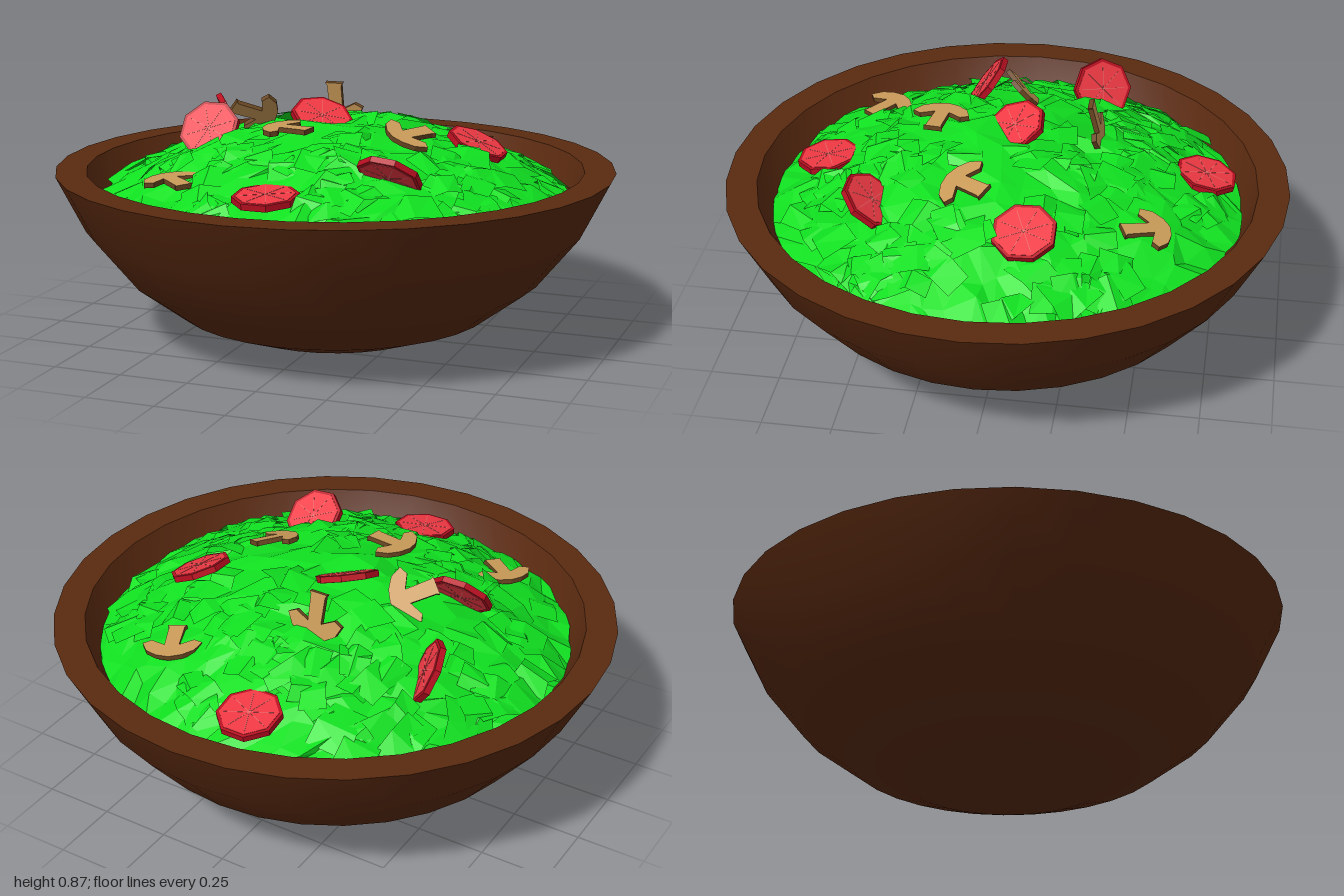
import * as THREE from 'three';
import { mergeGeometries, toCreasedNormals } from 'three/addons/utils/BufferGeometryUtils.js';

const paint = (color, extra = {}) => new THREE.MeshStandardMaterial({ color, ...extra });
const UP = new THREE.Vector3(0, 1, 0);

// Seeded random numbers in -1..1
let seed = 11;
function rand() {
  seed = (seed * 16807) % 2147483647;
  return (seed / 2147483647) * 2 - 1;
}

// Height of the salad mound at distance r from the centre
const moundHeight = (r) => 0.775 - 0.36 * r * r;

// Tomato slices: position, then facing direction
const TOMATOES = [
  [-0.1, 0.62, -0.7, 0, 0.95, -0.2],
  [0.49, 0.705, -0.13, 0.4, 0.9, 0.05],
  [0, 0.635, 0.65, 0, 0.95, 0.12],
  [0.35, 0.69, 0.42, 0.1, 0.75, -0.6],
  [-0.06, 0.785, -0.02, 0.3, 0.8, 0.3],
  [-0.53, 0.7, -0.28, 0.78, 0.43, -0.45],
  [-0.43, 0.745, 0.14, 0, 0.6, 0.8],
];

// Mushroom slices: position, facing direction, then stem direction (x, z)
const MUSHROOMS = [
  [0.32, 0.65, -0.55, 0.05, 1, -0.15, 0.4, 0.9],
  [-0.11, 0.76, -0.31, 0, 0.25, -0.95, 0, 1],
  [-0.3, 0.78, -0.03, -0.3, 0.6, -0.65, -0.6, 0.7],
  [0.3, 0.765, 0.12, 0.25, 0.9, 0.2, 0.5, -0.8],
  [-0.11, 0.79, 0.25, 0, 1, 0.04, 1, 0.15],
  [-0.42, 0.635, 0.5, 0, 1, 0.08, 0.75, 0.6],
];

function orient(object, [x, y, z, nx, ny, nz]) {
  object.position.set(x, y, z);
  object.quaternion.setFromUnitVectors(UP, new THREE.Vector3(nx, ny, nz).normalize());
  return object;
}

// Turned wooden bowl: outside up to the rim, then down the inside
function makeBowl() {
  const profile = [
    [0, 0], [0.2, 0.005], [0.38, 0.03], [0.57, 0.1], [0.75, 0.235], [0.9, 0.42], [1, 0.62],
    [0.89, 0.62], [0.81, 0.44], [0.67, 0.27], [0.5, 0.15], [0.3, 0.09], [0, 0.07],
  ].map(([r, y]) => new THREE.Vector2(r, y));
  const bowl = new THREE.Mesh(
    toCreasedNormals(new THREE.LatheGeometry(profile, 32), 0.7), paint(0x5a2a10));
  bowl.name = 'bowl';
  return bowl;
}

// Crumpled mound: a square grid rounded into a disc and raised into a dome
function makeMound() {
  const n = 18;
  const geo = new THREE.PlaneGeometry(2, 2, n, n).rotateX(-Math.PI / 2);
  const pos = geo.attributes.position;
  for (let i = 0; i < pos.count; i++) {
    const u = pos.getX(i), v = pos.getZ(i);
    const edge = Math.max(Math.abs(u), Math.abs(v)) > 0.99;
    const x = 0.84 * u * Math.sqrt(1 - v * v / 2) + rand() * (edge ? 0.008 : 0.03);
    const z = 0.84 * v * Math.sqrt(1 - u * u / 2) + rand() * (edge ? 0.008 : 0.03);
    pos.setXYZ(i, x, moundHeight(Math.hypot(x, z)) + rand() * 0.022, z);
  }
  const mound = new THREE.Mesh(geo, paint(0x10e020, { flatShading: true, side: THREE.DoubleSide }));
  mound.name = 'lettuceMound';
  return mound;
}

// Loose torn leaves: small folded sheets scattered over the mound
function makeLeaves() {
  const toppings = [...TOMATOES, ...MUSHROOMS];
  const leaves = [];
  const holder = new THREE.Object3D();
  for (let i = 0; i < 260; i++) {
    const r = 0.77 * Math.sqrt(Math.abs(rand())), a = rand() * Math.PI;
    const x = r * Math.cos(a), z = r * Math.sin(a);
    if (toppings.some((t) => Math.hypot(t[0] - x, t[2] - z) < 0.14)) continue;
    const leaf = new THREE.PlaneGeometry(0.15 + rand() * 0.05, 0.1 + rand() * 0.03, 2, 1);
    leaf.rotateX(-Math.PI / 2).rotateY(rand() * Math.PI);
    const pos = leaf.attributes.position;
    for (let k = 0; k < pos.count; k++) {
      pos.setX(k, pos.getX(k) + rand() * 0.015);
      pos.setY(k, (k % 3 === 1 ? 0.015 : -0.005) + rand() * 0.008);
    }
    orient(holder, [x, moundHeight(r) + 0.006, z,
      0.72 * x + rand() * 0.25, 1, 0.72 * z + rand() * 0.25]);
    holder.updateMatrix();
    leaves.push(leaf.applyMatrix4(holder.matrix));
  }
  const mesh = new THREE.Mesh(mergeGeometries(leaves),
    paint(0x10e020, { flatShading: true, side: THREE.DoubleSide }));
  mesh.name = 'lettuceLeaves';
  return mesh;
}

// Octagonal tomato slice: dark skin, lighter flesh and pale seams
function makeTomatoes() {
  const group = new THREE.Group();
  group.name = 'tomatoSlices';
  const skin = new THREE.CylinderGeometry(0.113, 0.113, 0.022, 8);
  const flesh = new THREE.CylinderGeometry(0.101, 0.101, 0.025, 8);
  const seams = [];
  for (let i = 0; i < 4; i++) {
    seams.push(new THREE.BoxGeometry(0.17, 0.0265, 0.002).rotateY(i * Math.PI / 4));
  }
  const seam = mergeGeometries(seams);
  const parts = [
    ['tomatoSkin', skin, paint(0xb80f20, { flatShading: true })],
    ['tomatoFlesh', flesh, paint(0xee3843, { flatShading: true })],
    ['tomatoSeams', seam, paint(0xe0706c, { flatShading: true })],
  ];
  for (const spot of TOMATOES) {
    const slice = new THREE.Group();
    slice.name = 'tomatoSlice';
    for (const [name, geo, mat] of parts) {
      const mesh = new THREE.Mesh(geo, mat);
      mesh.name = name;
      mesh.rotation.y = Math.PI / 8;
      slice.add(mesh);
    }
    group.add(orient(slice, spot));
  }
  return group;
}

// Mushroom slice: arched cap with drooping tips and a flared stem along +x
function makeMushrooms() {
  const group = new THREE.Group();
  group.name = 'mushroomSlices';
  const half = [[0.115, 0.034], [0.105, 0.028], [0.01, 0.026], [0.035, 0.075],
    [0.02, 0.105], [-0.02, 0.085], [-0.045, 0.045]];
  const outline = [...half, [-0.055, 0], ...half.slice().reverse().map(([x, y]) => [x, -y])];
  const shape = new THREE.Shape(outline.map(([x, y]) => new THREE.Vector2(x, y)));
  const geo = new THREE.ExtrudeGeometry(shape, { depth: 0.018, bevelEnabled: false })
    .translate(0, 0, -0.009).rotateX(-Math.PI / 2);
  const mats = [paint(0xc99a58), paint(0x6b4722)];
  for (const spot of MUSHROOMS) {
    const slice = new THREE.Mesh(geo, mats);
    slice.name = 'mushroomSlice';
    orient(slice, spot).rotateY(Math.atan2(-spot[7], spot[6]));
    group.add(slice);
  }
  return group;
}

export function createModel() {
  seed = 11;
  const model = new THREE.Group();
  model.name = 'saladBowl';
  model.add(makeBowl(), makeMound(), makeLeaves(), makeTomatoes(), makeMushrooms());
  return model;
}
